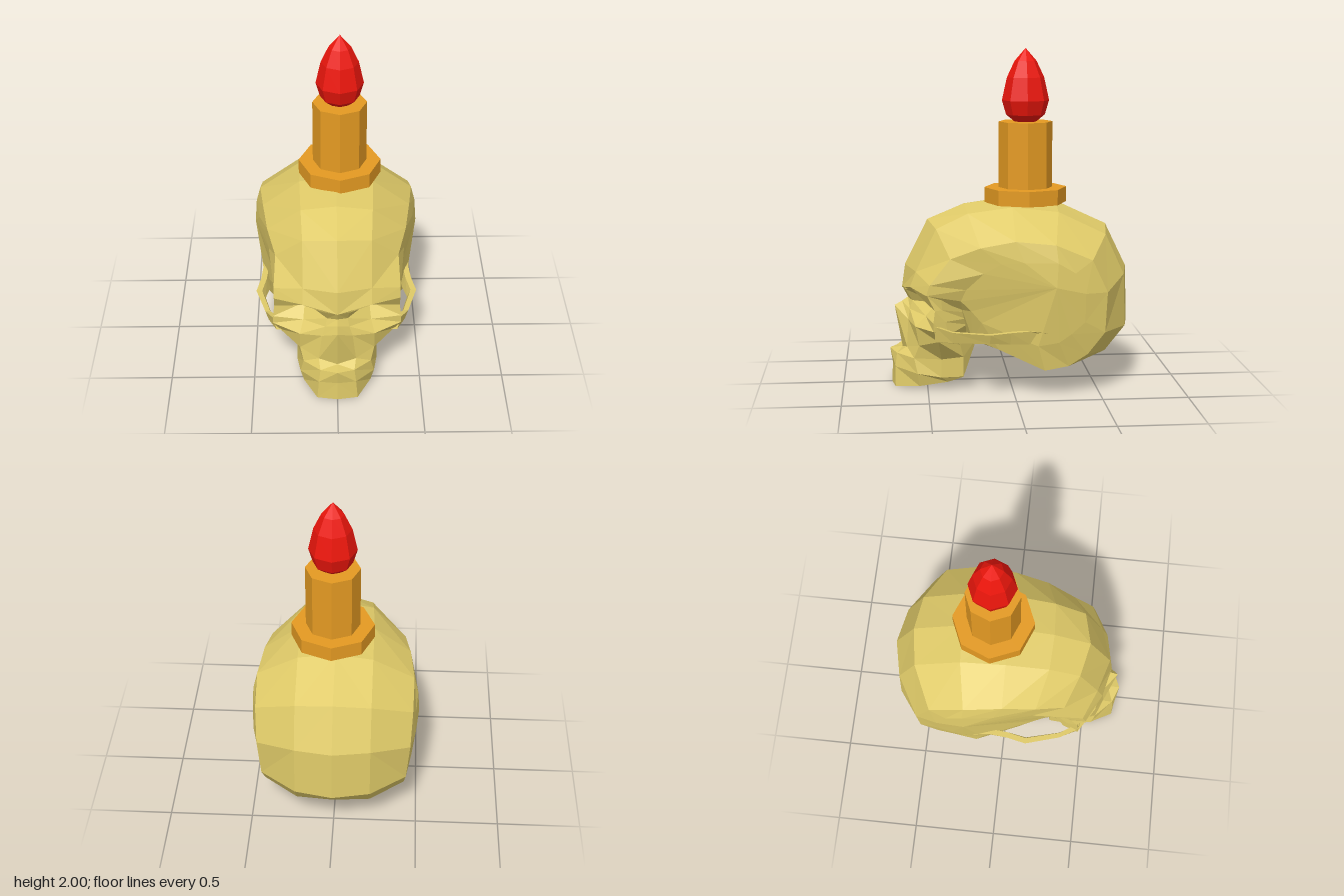
import * as THREE from 'three';

const paint = (color) => new THREE.MeshStandardMaterial({ color, flatShading: true });
const bone = paint(0xdfca68);
bone.side = THREE.DoubleSide;
const wax = paint(0xe49a22);
const fire = paint(0xec160c);

// Skins a grid of [x, y, z] points given for the +x half, and mirrors it to -x.
function mirroredSkin(name, rows, { wrapRows = false, wrapColumns = false } = {}) {
  const pos = [];
  const tri = (a, b, c) => {
    const [A, B, C] = [a, b, c].map((p) => new THREE.Vector3(...p));
    if (B.clone().sub(A).cross(C.clone().sub(A)).length() < 1e-7) return;
    pos.push(...a, ...b, ...c);
    for (const p of [a, c, b]) pos.push(-p[0], p[1], p[2]);
  };
  const nRows = rows.length, nCols = rows[0].length;
  for (let i = 0; i < nRows - (wrapRows ? 0 : 1); i++) {
    for (let j = 0; j < nCols - (wrapColumns ? 0 : 1); j++) {
      const r = rows[i], s = rows[(i + 1) % nRows], k = (j + 1) % nCols;
      tri(r[j], s[j], s[k]);
      tri(r[j], s[k], r[k]);
    }
  }
  const geo = new THREE.BufferGeometry();
  geo.setAttribute('position', new THREE.Float32BufferAttribute(pos, 3));
  geo.computeVertexNormals();
  const mesh = new THREE.Mesh(geo, bone);
  mesh.name = name;
  return mesh;
}

// Cranium: rings from the middle line out to the temple, each running
// from the brow over the top and back, then under to the eye sockets.
function makeCranium() {
  const middle = [
    [0, .58, .645], [0, .72, .625], [0, .99, .49], [0, 1.08, .27], [0, 1.115, 0],
    [0, 1.09, -.28], [0, .95, -.58], [0, .69, -.705], [0, .37, -.715], [0, .23, -.58],
    [0, .14, -.38], [0, .17, -.15], [0, .24, .1], [0, .3, .3], [0, .5, .38],
  ];
  const crown = [
    [.2, .62, .6], [.2, .71, .565], [.2, .96, .445], [.21, 1.05, .26], [.22, 1.085, 0],
    [.22, 1.055, -.27], [.22, .92, -.55], [.22, .68, -.66], [.22, .37, -.67], [.22, .22, -.55],
    [.22, .14, -.36], [.25, .19, -.15], [.2, .24, .1], [.15, .3, .28], [.15, .5, .36],
  ];
  const edge = [
    [.37, .6, .51], [.37, .66, .49], [.36, .81, .37], [.41, .88, .2], [.44, .92, 0],
    [.465, .9, -.23], [.46, .81, -.44], [.45, .62, -.53], [.43, .38, -.52], [.42, .25, -.42],
    [.415, .18, -.31], [.43, .16, -.17], [.35, .27, .09], [.28, .32, .24], [.3, .5, .3],
  ];
  const temple = [
    [.345, .56, .31], [.365, .63, .28], [.405, .73, .18], [.435, .79, .08], [.465, .8, -.05],
    [.49, .8, -.24], [.48, .74, -.34], [.48, .62, -.4], [.46, .45, -.4], [.46, .38, -.32],
    [.455, .33, -.25], [.45, .31, -.13], [.39, .38, .06], [.35, .43, .19], [.345, .5, .25],
  ];
  const pole = middle.map(() => [.5, .66, -.23]);
  return mirroredSkin('cranium', [middle, crown, edge, temple, pole], { wrapColumns: true });
}

// Face: rows from the brow down to the teeth line and up into the palate,
// each running from the middle line outward and back.
function makeFace() {
  const throat = [.08, .28, .2];
  const upper = [
    // brow underside, socket back, socket floor, socket rim, cheek and nose base
    [[0, .58, .64], [.07, .58, .625], [.2, .615, .595], [.37, .6, .505], [.35, .58, .42], [.28, .5, .28]],
    [[0, .52, .61], [.06, .51, .585], [.19, .52, .44], [.37, .51, .46], [.345, .51, .42], [.28, .48, .28]],
    [[0, .495, .645], [.07, .46, .6], [.2, .445, .51], [.38, .44, .47], [.345, .44, .4], [.27, .44, .28]],
    [[0, .47, .69], [.09, .4, .61], [.22, .385, .57], [.38, .39, .47], [.34, .36, .38], [.25, .4, .27]],
    [[0, .215, .645], [.11, .24, .62], [.22, .27, .55], [.34, .32, .44], [.25, .28, .31], throat],
  ];
  const jaw = [
    // jaw top, middle, teeth line, inner rim, palate, palate ridge
    [[0, .21, .72], [.1, .2, .68], [.2, .19, .58], [.24, .19, .42], [.23, .2, .29], throat],
    [[0, .12, .705], [.11, .12, .69], [.22, .1, .56], [.24, .08, .42], [.23, .08, .29], throat],
    [[0, 0, .71], [.12, 0, .69], [.2, .02, .55], [.21, .045, .38], [.2, .07, .29], throat],
    [[0, .02, .64], [.1, .02, .63], [.16, .04, .53], [.17, .06, .37], [.17, .08, .29], throat],
    [[0, .14, .58], [.08, .14, .57], [.12, .15, .49], [.13, .16, .35], [.13, .17, .28], throat],
    [[0, .16, .52], [0, .16, .47], [0, .17, .41], [0, .17, .35], [0, .18, .28], [0, .28, .2]],
  ];
  return mirroredSkin('face', [...upper, ...jaw]);
}

// Cheek arches: thin bars from the cheekbone back to the ear.
function makeCheekArches() {
  const stations = [ // outer x, inner x, top y, bottom y, z
    [.38, .34, .42, .33, .46], [.43, .4, .395, .33, .36], [.49, .455, .39, .335, .15],
    [.465, .43, .395, .325, .03], [.455, .42, .4, .32, -.08], [.465, .43, .39, .37, -.18],
  ];
  const corner = (x, y) => stations.map((s) => [s[x] - (y === 3 ? .02 : 0), s[y], s[4]]);
  const rows = [corner(0, 2), corner(0, 3), corner(1, 3), corner(1, 2)];
  return mirroredSkin('cheekArches', rows, { wrapRows: true });
}

// Candle: eight-sided collar, stick and flame.
function makeCandle() {
  const candle = new THREE.Group();
  candle.name = 'candle';
  candle.position.set(.022, 0, -.095);
  const add = (name, geo, material, y = 0) => {
    const mesh = new THREE.Mesh(geo, material);
    mesh.name = name;
    mesh.position.y = y;
    candle.add(mesh);
  };
  add('candleCollar', new THREE.CylinderGeometry(.245, .245, .09, 8), wax, 1.135);
  add('candleStick', new THREE.CylinderGeometry(.16, .16, .5, 8), wax, 1.32);
  const profile = [[0, 1.56], [.06, 1.565], [.115, 1.61], [.14, 1.695], [.11, 1.83], [.065, 1.925], [0, 2]];
  add('flame', new THREE.LatheGeometry(profile.map((p) => new THREE.Vector2(...p)), 8), fire);
  return candle;
}

export function createModel() {
  const model = new THREE.Group();
  model.name = 'skullCandle';
  model.add(makeCranium(), makeFace(), makeCheekArches(), makeCandle());
  return model;
}
